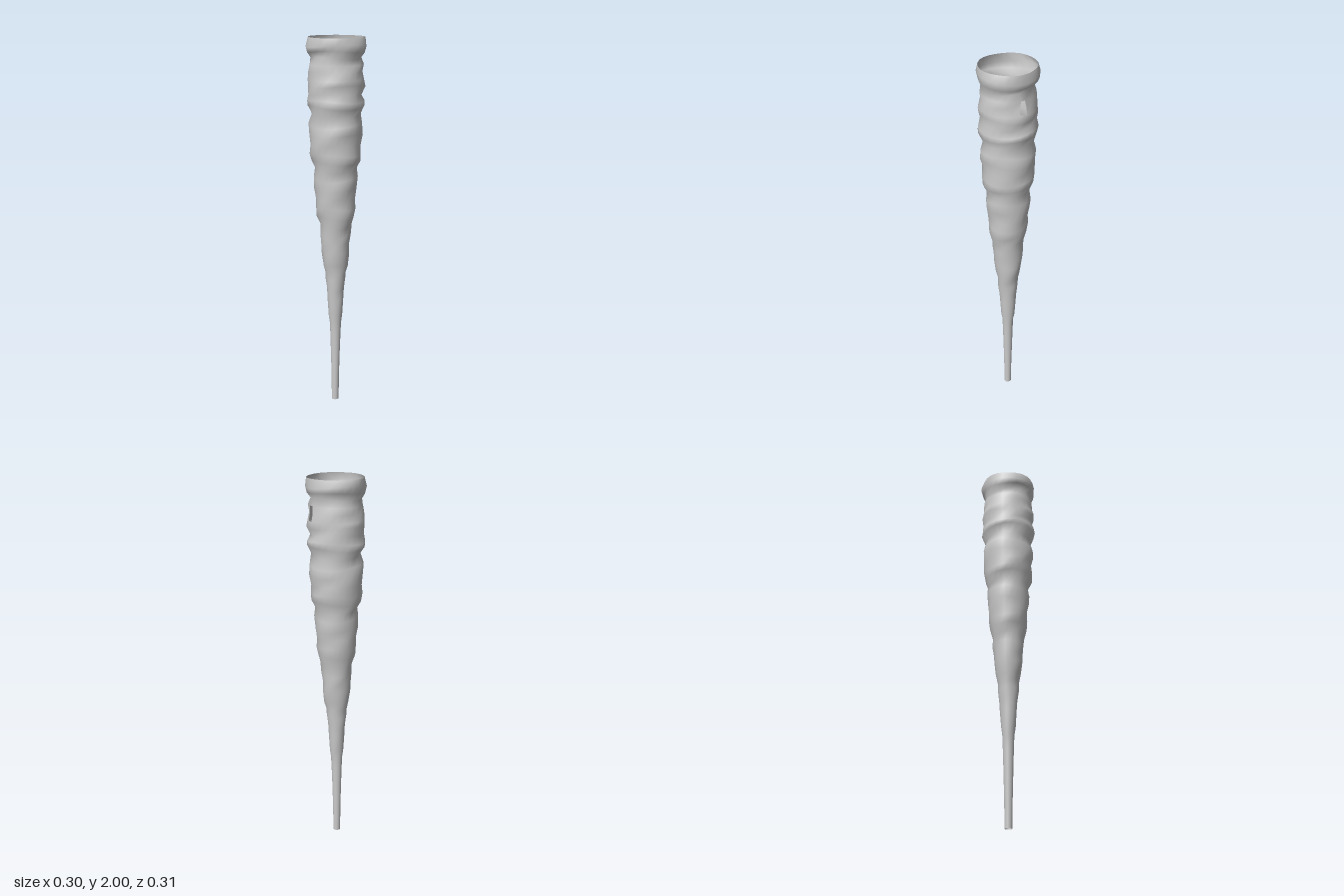
import * as THREE from 'three';

// Ring profile: height, radius, depth of the extra groove on the front (+z, +x) side
const PROFILE = [
  [0, 0.019, 0], [0.15, 0.021, 0], [0.3, 0.025, 0], [0.4, 0.028, 0], [0.47, 0.031, 0],
  [0.51, 0.037, 0], [0.6, 0.043, 0], [0.66, 0.047, 0.002], [0.72, 0.054, 0], [0.76, 0.055, 0],
  [0.8, 0.065, 0], [0.87, 0.074, 0], [0.92, 0.077, 0.004], [0.97, 0.082, 0], [1.02, 0.083, 0],
  [1.07, 0.098, 0], [1.12, 0.104, 0], [1.17, 0.105, 0.006], [1.22, 0.111, 0], [1.28, 0.115, 0],
  [1.325, 0.109, 0], [1.37, 0.128, 0], [1.41, 0.133, 0], [1.46, 0.134, 0.009], [1.51, 0.138, 0],
  [1.56, 0.138, 0], [1.61, 0.125, 0], [1.655, 0.146, 0], [1.685, 0.147, 0], [1.72, 0.139, 0.008],
  [1.76, 0.146, 0], [1.79, 0.143, 0], [1.83, 0.138, 0.002], [1.865, 0.137, 0], [1.9, 0.128, 0],
  [1.93, 0.145, 0], [1.96, 0.153, 0], [2, 0.144, 0],
];
const SIDES = 24;
const HOLE_FROM = 1.79, HOLE_TO = 1.865;

// Open, hand-shaped tube with a small tapered finger hole on the +x side
function hornGeometry() {
  const positions = [], indices = [];
  PROFILE.forEach(([y, r, groove], i) => {
    for (let j = 0; j < SIDES; j++) {
      let a = ((j - 0.5) / SIDES) * Math.PI * 2;
      // narrow the top edge of the hole
      if (y === HOLE_TO && j < 2) a *= 0.6;
      const front = Math.max(0, Math.cos(a - Math.PI / 4));
      // gentle dents so the rings are not perfectly round
      const wobble = 0.018 * Math.sin(3 * a + i * 1.9) + 0.014 * Math.sin(5 * a - i * 2.7);
      const radius = r * (1 + wobble * Math.min(1, y)) - groove * front;
      const lift = i > 0 && y < 2 && !(y >= HOLE_FROM && y <= HOLE_TO)
        ? 0.008 * Math.sin(2 * a + i) : 0;
      const drift = -0.005 * (1 - y / 2);
      positions.push(Math.cos(a) * radius + drift, y + lift, Math.sin(a) * radius);
    }
  });
  for (let i = 0; i < PROFILE.length - 1; i++) {
    const y = PROFILE[i][0];
    for (let j = 0; j < SIDES; j++) {
      if (j === 0 && y >= HOLE_FROM && y < HOLE_TO) continue;
      const k = (j + 1) % SIDES;
      const a = i * SIDES + j, b = i * SIDES + k;
      const c = a + SIDES, d = b + SIDES;
      indices.push(a, c, b, b, c, d);
    }
  }
  const geometry = new THREE.BufferGeometry();
  geometry.setAttribute('position', new THREE.Float32BufferAttribute(positions, 3));
  geometry.setIndex(indices);
  geometry.computeVertexNormals();
  return geometry;
}

export function createModel() {
  const group = new THREE.Group();
  group.name = 'horn';
  const material = new THREE.MeshStandardMaterial({ color: 0xcccccc, side: THREE.DoubleSide });
  const shell = new THREE.Mesh(hornGeometry(), material);
  shell.name = 'hornShell';
  group.add(shell);
  return group;
}
